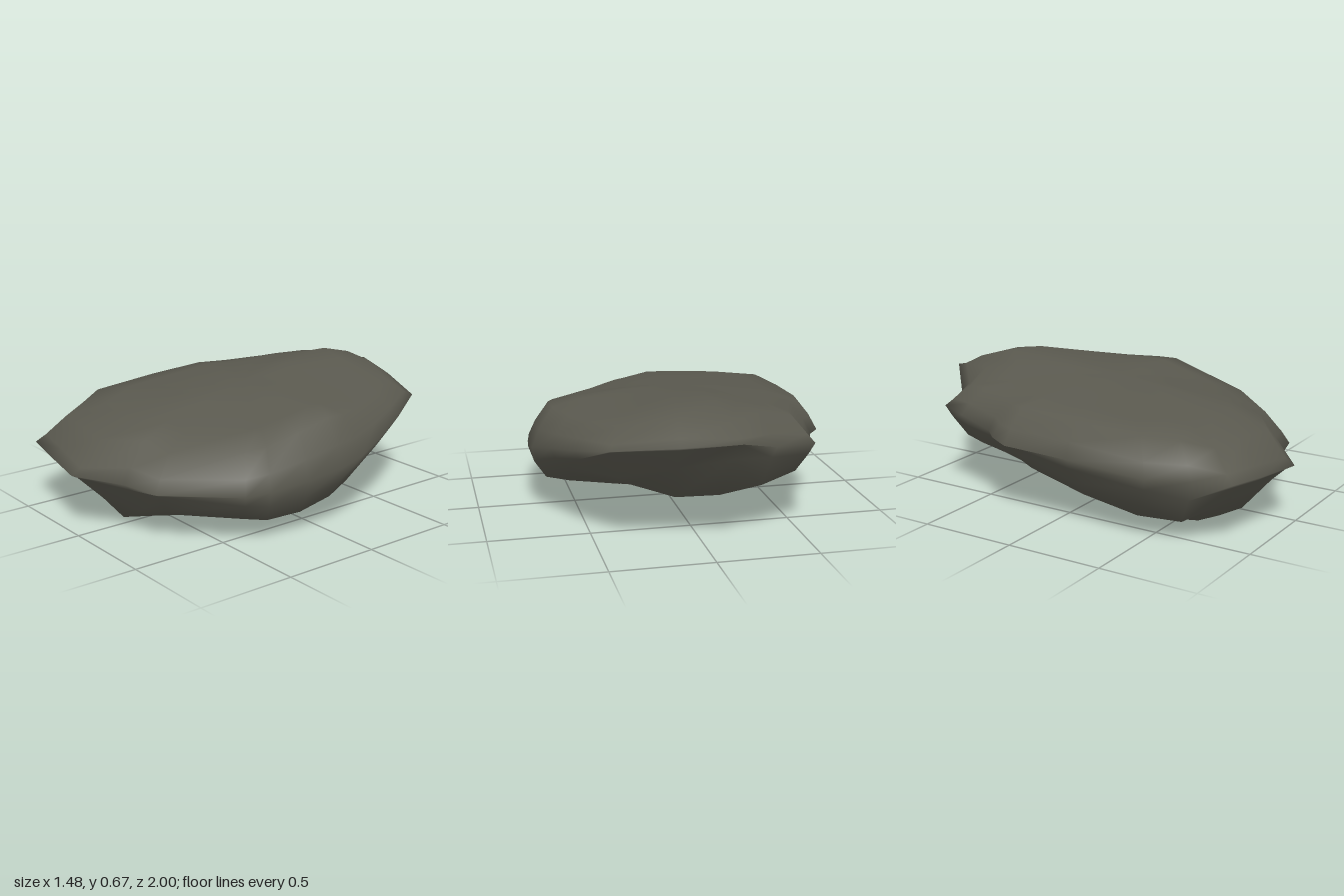
import * as THREE from 'three';

// Widest outline of the stone: x, height, z, going clockwise seen from above
const RIM = [
  [-0.12, 0.555, -1], [0.16, 0.53, -0.92], [0.46, 0.5, -0.8], [0.58, 0.45, -0.58], [0.67, 0.41, -0.38],
  [0.735, 0.36, -0.18], [0.74, 0.33, -0.05], [0.72, 0.3, 0.15], [0.69, 0.28, 0.36],
  [0.65, 0.27, 0.48], [0.36, 0.27, 0.79], [0.18, 0.28, 0.84], [-0.04, 0.3, 1],
  [-0.3, 0.31, 0.955], [-0.53, 0.33, 0.92], [-0.61, 0.34, 0.75], [-0.73, 0.35, 0.57],
  [-0.74, 0.375, 0.15], [-0.735, 0.38, -0.22], [-0.71, 0.4, -0.31], [-0.65, 0.41, -0.38],
  [-0.565, 0.43, -0.62], [-0.55, 0.46, -0.74], [-0.34, 0.47, -0.8],
];

// Lengthwise profiles: z, height
const TOP = [[-1, 0.57], [-0.86, 0.625], [-0.66, 0.675], [-0.12, 0.625], [0.15, 0.58],
  [0.45, 0.565], [0.75, 0.5], [0.86, 0.45], [1, 0.31]];
const BOTTOM = [[-1, 0.55], [-0.82, 0.36], [-0.7, 0.18], [-0.1, 0.09], [0.05, 0.06],
  [0.33, 0], [0.72, 0.02], [0.85, 0.18], [1, 0.29]];

function sample(profile, z) {
  for (let i = 1; i < profile.length; i++) {
    const [z0, y0] = profile[i - 1], [z1, y1] = profile[i];
    if (z <= z1) return y0 + (y1 - y0) * Math.max(0, (z - z0) / (z1 - z0));
  }
  return profile[profile.length - 1][1];
}

// The top is ridged at the back, nearly level at the front left and slopes down to the front right
function topY(x, z) {
  const back = Math.min(1, Math.max(0, -z * 1.3)), right = Math.max(x, 0);
  return sample(TOP, z) - 0.24 * back * Math.max(0, Math.abs(x) - 0.07)
    - 0.12 * x * x - 0.35 * right * Math.max(z, 0);
}

// The underside curves up sideways, most of all at its right corners and along the left edge
function bottomY(x, z) {
  const y = sample(BOTTOM, z) + 0.2 * (x - 0.08) ** 2 + 0.6 * Math.max(0, -x - 0.52);
  if (z > 0) return y + 0.8 * Math.max(x, 0) * z * z;
  return y + (x > 0 ? 0.5 : 0.2) * Math.abs(x * z);
}

// Rings from under the stone, over the rim, to the top: scale, surface, blend from rim height
const RINGS = [
  [0.36, bottomY, 1], [0.72, bottomY, 1], [0.88, bottomY, 1], [0.96, bottomY, 0.55],
  [1, topY, 0],
  [0.95, topY, 0.5], [0.85, topY, 1], [0.65, topY, 1], [0.33, topY, 1],
];

function stoneGeometry() {
  const n = RIM.length, pos = [], index = [];
  for (const [s, surface, blend] of RINGS) {
    for (const [x, y, z] of RIM) {
      pos.push(x * s, y + (surface(x * s, z * s) - y) * blend, z * s);
    }
  }
  const low = pos.length / 3, high = low + 1;
  pos.push(0, bottomY(0, 0), 0, 0, topY(0, 0), 0);
  const last = (RINGS.length - 1) * n;
  for (let i = 0; i < n; i++) {
    const j = (i + 1) % n;
    for (let r = 0; r < last; r += n) {
      const a = r + i, b = r + j, c = a + n, d = b + n;
      index.push(b, a, c, b, c, d);
    }
    index.push(low, i, j, high, last + j, last + i); // closing fans
  }
  const geo = new THREE.BufferGeometry();
  geo.setAttribute('position', new THREE.Float32BufferAttribute(pos, 3));
  geo.setIndex(index);
  geo.computeBoundingBox();
  geo.translate(0, -geo.boundingBox.min.y, 0);
  geo.computeVertexNormals();
  return geo;
}

export function createModel() {
  const group = new THREE.Group();
  group.name = 'flatRock';
  const material = new THREE.MeshStandardMaterial({ color: 0x5a594f });
  material.name = 'dark grey stone';
  const stone = new THREE.Mesh(stoneGeometry(), material);
  stone.name = 'stone';
  group.add(stone);
  return group;
}
